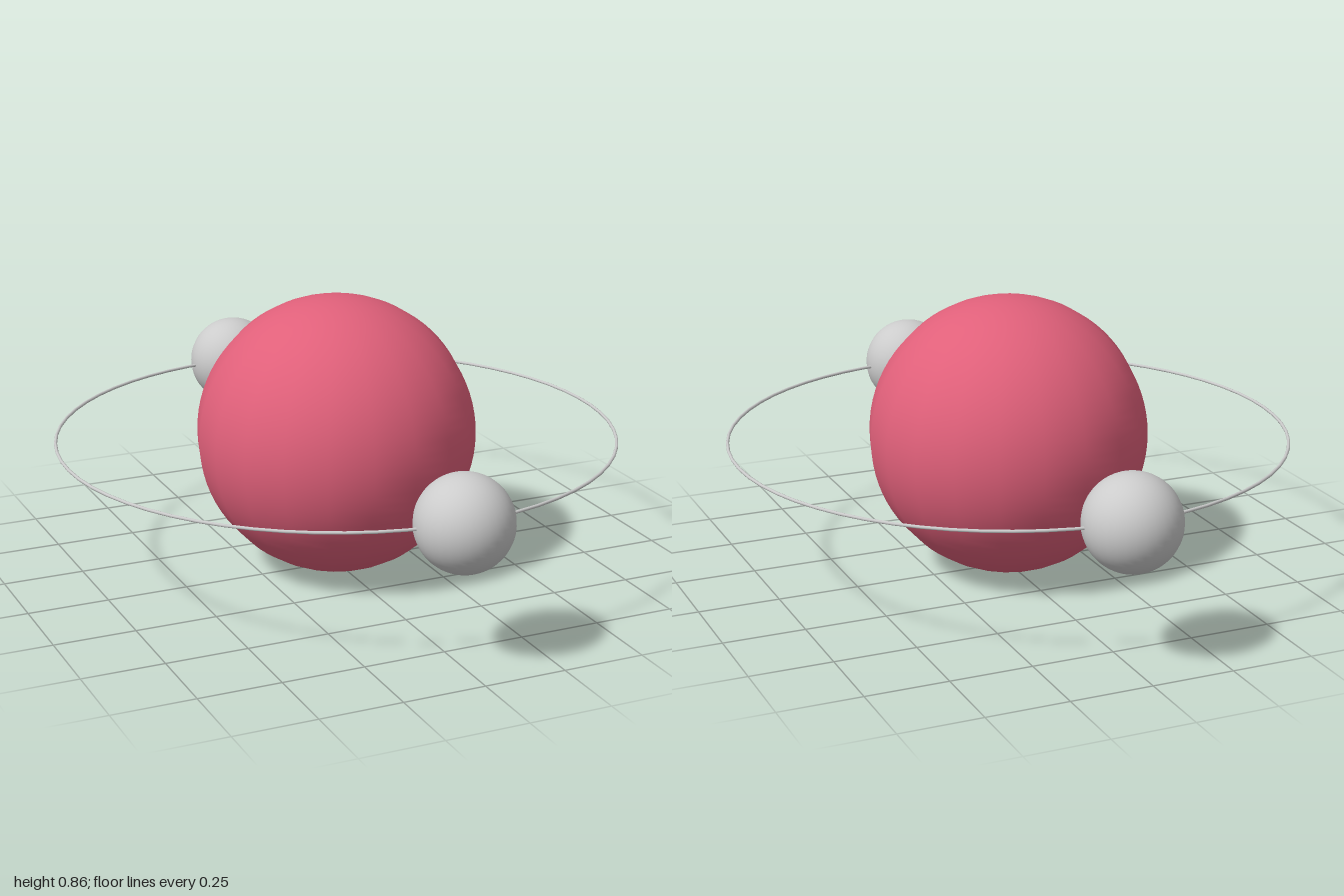
import * as THREE from 'three';

const PLANET_R = 0.4286; // also the height of the orbit plane
const ORBIT_R = 0.857;
const MOON_R = 0.143;

export function createModel() {
  const model = new THREE.Group();
  model.name = 'planetWithMoons';
  const grey = new THREE.MeshStandardMaterial({ color: 0xcccccc });
  const pink = new THREE.MeshStandardMaterial({ color: 0xe0607a });

  const add = (name, geometry, material, z = 0) => {
    const mesh = new THREE.Mesh(geometry, material);
    mesh.name = name;
    mesh.position.set(0, PLANET_R, z);
    model.add(mesh);
    return mesh;
  };

  // Planet: twenty meridians, turned half a step so flats face the axes
  const planet = add('planet', new THREE.SphereGeometry(PLANET_R, 20, 40), pink);
  planet.rotation.y = Math.PI / 20;

  // Thin horizontal orbit ring
  const ring = add('orbitRing', new THREE.TorusGeometry(ORBIT_R, 0.005, 8, 64), grey);
  ring.rotation.x = Math.PI / 2;

  // Moons at the front and back of the ring
  const moonGeometry = new THREE.SphereGeometry(MOON_R, 32, 32);
  add('frontMoon', moonGeometry, grey, ORBIT_R);
  add('backMoon', moonGeometry, grey, -ORBIT_R);

  return model;
}
